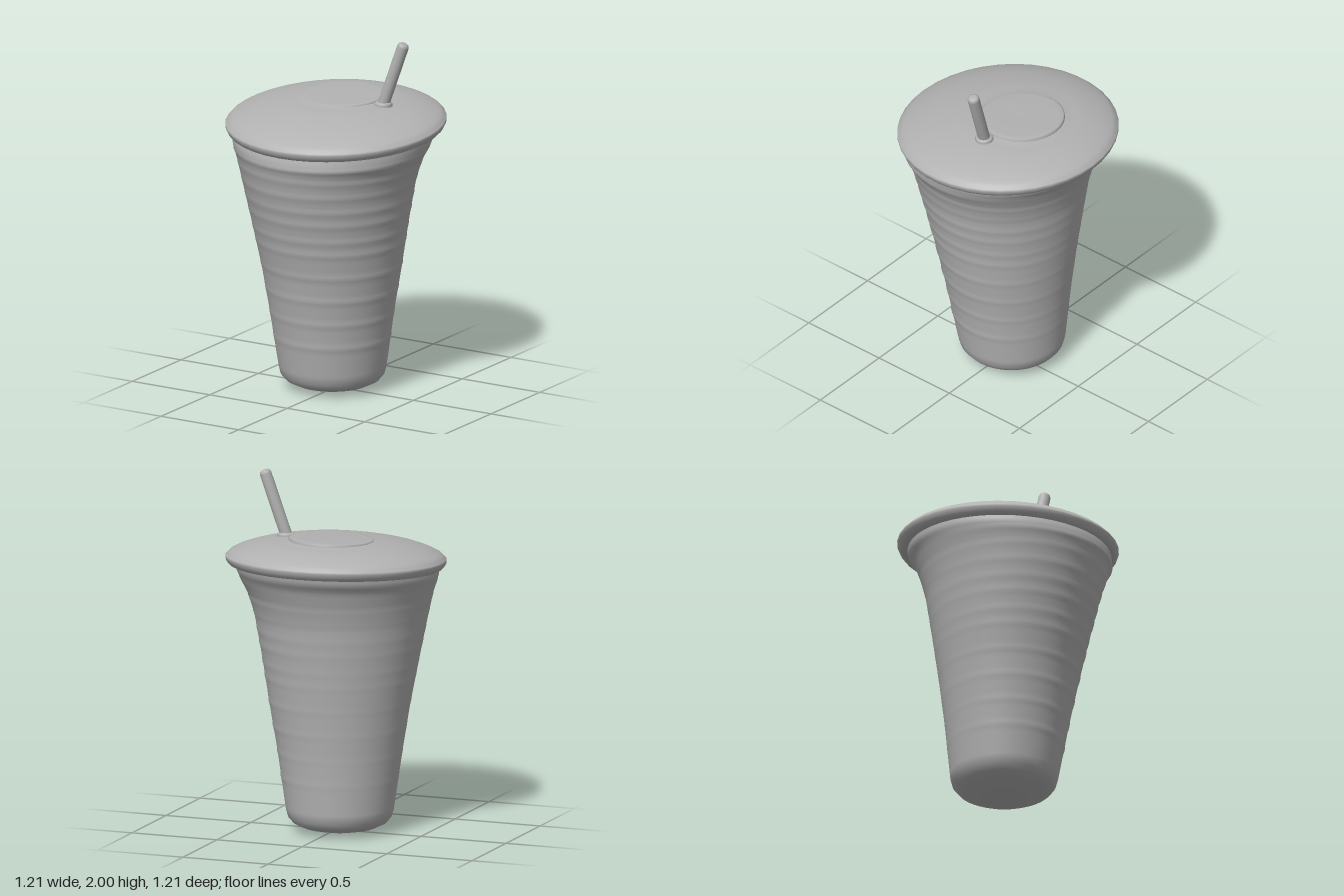
import * as THREE from 'three';
import { mergeVertices } from 'three/addons/utils/BufferGeometryUtils.js';

const grey = new THREE.MeshStandardMaterial({ color: 0xb2b2b2 });
grey.name = 'plain grey';

const LID_SLOPE = 0.058; // the lid rises towards the back

// Lathe a profile, move its vertices by a rule, weld the seam, smooth it
function turned(name, points, sides, rule) {
  const geo = new THREE.LatheGeometry(points, sides);
  const pos = geo.attributes.position;
  const v = new THREE.Vector3();
  for (let i = 0; i < pos.count; i++) {
    v.fromBufferAttribute(pos, i);
    if (rule) rule(v);
    pos.setXYZ(i, v.x, v.y, v.z);
  }
  geo.deleteAttribute('uv');
  geo.deleteAttribute('normal');
  const welded = mergeVertices(geo, 1e-5);
  welded.computeVertexNormals();
  const mesh = new THREE.Mesh(welded, grey);
  mesh.name = name;
  return mesh;
}

const vectors = (pairs) => pairs.map(([a, b]) => new THREE.Vector2(a, b));

// Linear lookup in rows of [y, a, b, ...]
function sample(rows, y) {
  let i = 1;
  while (i < rows.length - 1 && rows[i][0] < y) i++;
  const [p, q] = [rows[i - 1], rows[i]];
  const t = THREE.MathUtils.clamp((y - p[0]) / (q[0] - p[0]), 0, 1);
  return p.map((value, k) => THREE.MathUtils.lerp(value, q[k], t));
}

function makeCup() {
  // height, radius in x, radius in z, centre x, centre z
  const sections = [
    [0.12, 0.295, 0.295, -0.025, -0.005],
    [0.45, 0.343, 0.34, -0.02, 0.01],
    [0.7, 0.385, 0.38, -0.015, 0.02],
    [0.95, 0.428, 0.428, -0.015, 0.035],
    [1.2, 0.475, 0.48, -0.013, 0.05],
    [1.32, 0.507, 0.512, -0.008, 0.048],
    [1.4, 0.54, 0.54, 0, 0.04],
    [1.44, 0.553, 0.558, -0.003, 0.02],
    [1.5, 0.555, 0.56, 0, 0.005],
  ];
  // Domed base, then a straight unit wall that the sections reshape
  const points = vectors([[0, 0], [0.4, 0.006], [0.7, 0.026], [0.88, 0.052], [0.965, 0.082]]);
  for (let i = 0; i <= 92; i++) points.push(new THREE.Vector2(1, 0.12 + i * 0.015));
  const ridges = [0.3, 0.44, 0.58, 0.72, 0.86, 0.94, 1.04, 1.12, 1.21, 1.3, 1.39];
  return turned('cup', points, 48, (v) => {
    const [, rx, rz, cx, cz] = sample(sections, v.y);
    // Soft horizontal ridges that fade out on the back right
    const fade = 0.5 + 0.35 * (v.x + v.z) * 0.7;
    let bump = 0;
    for (const h of ridges) bump += 0.0045 * fade * Math.exp(-(((v.y - h) / 0.016) ** 2));
    v.x = cx + v.x * (rx + bump);
    v.z = cz + v.z * (rz + bump);
    v.y -= LID_SLOPE * v.z * THREE.MathUtils.smoothstep(v.y, 1.3, 1.48);
  });
}

function makeLid() {
  const profile = vectors([
    [0.5, 1.485], [0.55, 1.472], [0.578, 1.472], [0.597, 1.49], [0.606, 1.515], [0.597, 1.53],
    [0.57, 1.552], [0.5, 1.581], [0.4, 1.608], [0.24, 1.634], [0.1, 1.643], [0, 1.644],
  ]);
  return turned('lid', new THREE.SplineCurve(profile).getPoints(56), 40, (v) => {
    if (v.y > 1.58) {
      const d = Math.hypot(v.x + 0.01, v.z + 0.09);
      v.y -= 0.004 * Math.exp(-(((d - 0.265) / 0.03) ** 2)); // shallow groove round the disc
    }
    v.y -= LID_SLOPE * v.z;
  });
}

function makeLidDisc() {
  const profile = vectors([[0.236, -0.02], [0.235, 0], [0.228, 0.005], [0.2, 0.007], [0.1, 0.008], [0, 0.008]]);
  const disc = turned('lidDisc', profile, 48, (v) => {
    v.y += 0.02 * v.x - 0.045 * v.z; // stands out most on its left edge
  });
  disc.position.set(-0.01, 1.64, -0.09);
  return disc;
}

function makeStraw() {
  const straw = new THREE.Group();
  straw.name = 'straw';
  const base = new THREE.Vector3(0.27, 1.635, -0.057);
  const axis = new THREE.Vector3(0.39, 1.99, -0.077).sub(base);
  const top = axis.length();
  const tube = turned('strawTube', vectors([
    [0, -0.08], [0.033, -0.08], [0.033, top - 0.02], [0.029, top - 0.006], [0.02, top], [0, top + 0.001],
  ]), 20);
  // Small collar where the straw enters the lid
  const collar = turned('strawCollar', vectors([
    [0.05, -0.03], [0.05, 0.002], [0.046, 0.01], [0.038, 0.014], [0.03, 0.014],
  ]), 24);
  tube.quaternion.setFromUnitVectors(new THREE.Vector3(0, 1, 0), axis.normalize());
  straw.add(tube, collar);
  straw.position.copy(base);
  return straw;
}

export function createModel() {
  const model = new THREE.Group();
  model.name = 'lidded cup with straw';
  model.add(makeCup(), makeLid(), makeLidDisc(), makeStraw());
  return model;
}
